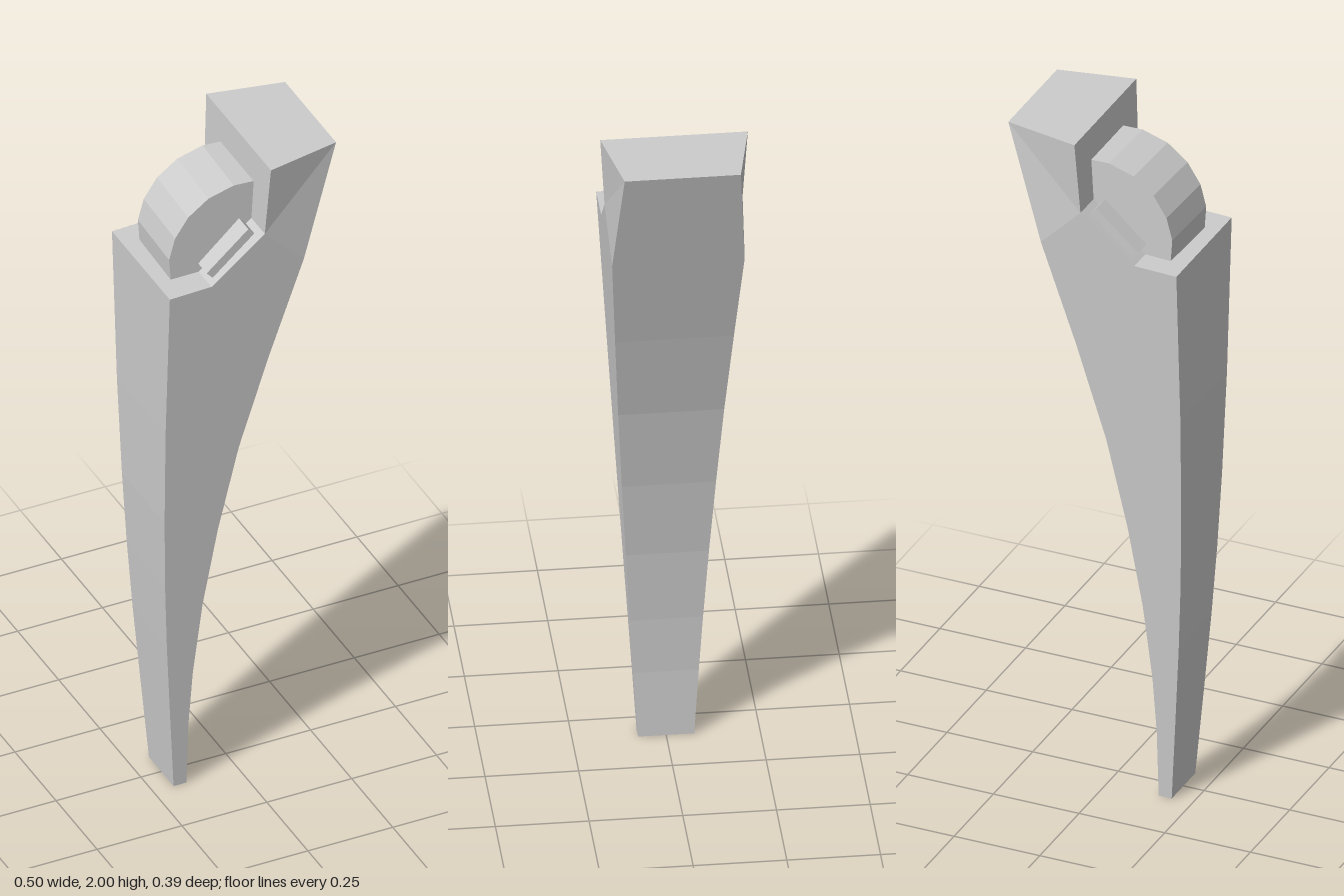
import * as THREE from 'three';

const material = new THREE.MeshStandardMaterial({ color: 0xcccccc, flatShading: true });

function part(name, geometry) {
  const mesh = new THREE.Mesh(geometry, material);
  mesh.name = name;
  return mesh;
}

// Tapered blade: each row is [left x, left y, right x, right y].
// Its half depth grows evenly with height; only the top outer corner is pinched.
function bladeGeometry() {
  const rows = [
    [-0.19, 0, -0.152, 0],
    [-0.208, 0.25, -0.152, 0.2],
    [-0.224, 0.48, -0.144, 0.37],
    [-0.235, 0.68, -0.122, 0.59],
    [-0.243, 0.9, -0.084, 0.83],
    [-0.249, 1.2, -0.03, 1.09],
    [-0.25, 1.656, 0.05, 1.37],
    [-0.127, 1.66, 0.145, 1.67],
    [0.026, 1.79, 0.145, 1.67],
    [0.038, 2, 0.25, 2],
  ];
  const halfDepth = (x, y) => (x > 0.2 ? 0.155 : 0.075 + 0.061 * y);
  const positions = [];
  const indices = [];
  for (const [lx, ly, rx, ry] of rows) {
    const l = halfDepth(lx, ly), r = halfDepth(rx, ry);
    positions.push(lx, ly, l, rx, ry, r, rx, ry, -r, lx, ly, -l);
  }
  const tri = (a, b, c) => indices.push(a, b, c);
  for (let i = 0; i < rows.length - 1; i++) {
    const [a, b, c, d] = [0, 1, 2, 3].map((k) => i * 4 + k);
    const [e, f, g, h] = [a + 4, b + 4, c + 4, d + 4];
    const sameRight = rows[i][2] === rows[i + 1][2] && rows[i][3] === rows[i + 1][3];
    // front and back, split from lower left to upper right
    tri(a, f, e);
    tri(d, h, g);
    if (!sameRight) {
      tri(a, b, f);
      tri(d, g, c);
      // right edge
      tri(b, c, g);
      tri(b, g, f);
    }
    // left edge, shoulder and notch
    tri(d, a, e);
    tri(d, e, h);
  }
  // bottom and top caps
  const t = (rows.length - 1) * 4;
  tri(0, 3, 2);
  tri(0, 2, 1);
  tri(t, t + 1, t + 2);
  tri(t, t + 2, t + 3);
  const geometry = new THREE.BufferGeometry();
  geometry.setAttribute('position', new THREE.Float32BufferAttribute(positions, 3));
  geometry.setIndex(indices);
  const flat = geometry.toNonIndexed();
  flat.computeVertexNormals();
  return flat;
}

// Faceted part-disc that sits in the notch
function discGeometry() {
  const radius = 0.211, depth = 0.203;
  const points = [80, 96, 117, 137, 156, 174, 194].map((deg) => {
    const a = THREE.MathUtils.degToRad(deg);
    return new THREE.Vector2(radius * Math.cos(a), radius * Math.sin(a));
  });
  points.push(new THREE.Vector2(0.03, -0.05));
  const geometry = new THREE.ExtrudeGeometry(new THREE.Shape(points), { depth, bevelEnabled: false });
  return geometry.translate(0, 0, -depth / 2);
}

// Slim pad whose outer side flares towards its upper end
function padGeometry(side) {
  const geometry = new THREE.BoxGeometry(0.163, 0.026, 0.054);
  const p = geometry.attributes.position;
  for (let i = 0; i < p.count; i++) {
    if (p.getZ(i) * side > 0) p.setZ(i, p.getZ(i) + side * 0.03 * p.getX(i));
  }
  geometry.computeVertexNormals();
  return geometry;
}

export function createModel() {
  const group = new THREE.Group();
  group.name = 'bladeLeg';
  group.add(part('blade', bladeGeometry()));

  const disc = part('jointDisc', discGeometry());
  disc.position.set(0, 1.7, 0);
  disc.rotation.y = -0.03;
  group.add(disc);

  for (const side of [1, -1]) {
    const pad = part(side > 0 ? 'frontPad' : 'backPad', padGeometry(side));
    pad.position.set(-0.063, 1.738, side * 0.134 - 0.002);
    pad.rotation.z = 0.74;
    group.add(pad);
  }
  return group;
}
